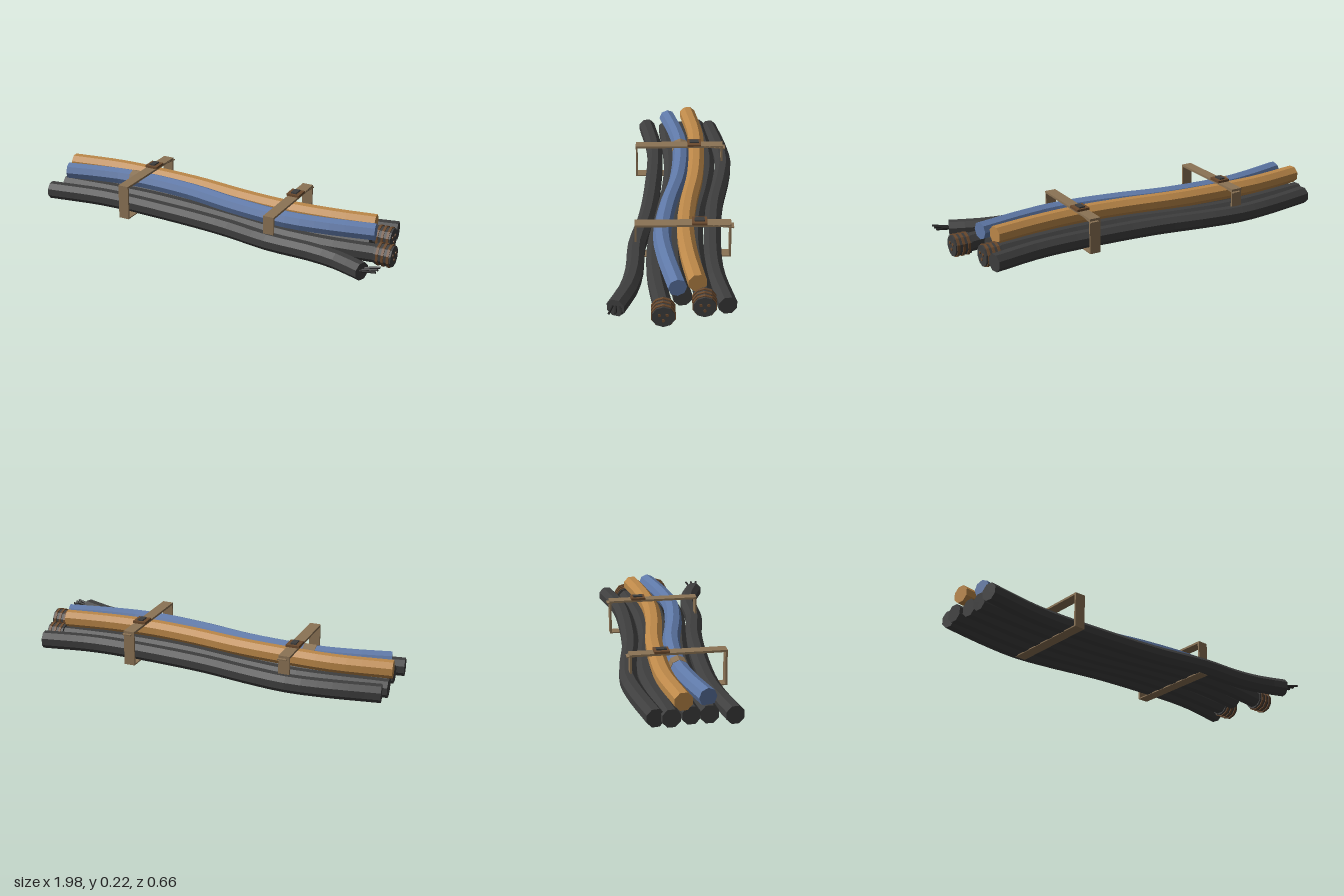
import * as THREE from 'three';

const mat = (name, color) => Object.assign(new THREE.MeshStandardMaterial({ color }), { name });
const M = {
  dark: mat('darkRubber', 0x3e3e3e),
  blue: mat('blueInsulation', 0x5f79a8),
  orange: mat('orangeInsulation', 0xbc8849),
  strap: mat('tanStrap', 0x8b7355),
  brown: mat('brownMetal', 0x6b4a2e),
  wire: mat('blackWire', 0x2a2a2a),
};

// Faceted mesh: every face keeps its own normal
function facet(name, geometry, material) {
  const g = geometry.index ? geometry.toNonIndexed() : geometry;
  g.computeVertexNormals();
  const mesh = new THREE.Mesh(g, material);
  mesh.name = name;
  return mesh;
}

// Capped cylinder lying along x, bent to follow a list of [x, z] points
function cable(name, y, pts, material, r, twist) {
  const curve = new THREE.CatmullRomCurve3(pts.map(([x, z]) => new THREE.Vector3(x, y, z)));
  const g = new THREE.CylinderGeometry(r, r, 1, 8, 24, false, twist).rotateZ(-Math.PI / 2);
  const pos = g.attributes.position;
  for (let i = 0; i < pos.count; i++) {
    const t = THREE.MathUtils.clamp(pos.getX(i) + 0.5, 0, 1);
    const p = curve.getPointAt(t), d = curve.getTangentAt(t);
    const h = pos.getY(i), s = pos.getZ(i);
    pos.setXYZ(i, p.x - d.z * s, p.y + h, p.z + d.x * s);
  }
  return facet(name, g, material);
}

function box(name, material, w, h, d, x, y, z) {
  const m = facet(name, new THREE.BoxGeometry(w, h, d), material);
  m.position.set(x, y, z);
  return m;
}

// Cylinder along x from x0 to x1
function barrel(name, material, r, x0, x1, y, z, sides) {
  const m = facet(name, new THREE.CylinderGeometry(r, r, x1 - x0, sides, 1, false, Math.PI / sides).rotateZ(-Math.PI / 2), material);
  m.position.set((x0 + x1) / 2, y, z);
  return m;
}

// Ribbed plug with three contact pins
function connector(x, z) {
  const g = new THREE.Group();
  g.name = 'connector';
  g.add(barrel('plugBody', M.dark, 0.055, x, x + 0.09, 0.06, z, 10));
  for (const o of [0.012, 0.04, 0.068]) g.add(barrel('plugRing', M.brown, 0.06, x + o, x + o + 0.013, 0.06, z, 10));
  for (const [dy, dz] of [[0.012, 0.018], [0.012, -0.018], [-0.018, 0]]) {
    g.add(barrel('contactPin', M.brown, 0.008, x + 0.085, x + 0.094, 0.06 + dy, z + dz, 8));
  }
  return g;
}

// Rectangular strap loop with buckle and loose tail
function strap(x) {
  const g = new THREE.Group();
  g.name = 'strap';
  const w = 0.058, zc = -0.0415, len = 0.483;
  g.add(box('strapTop', M.strap, w, 0.011, len, x, 0.1925, zc));
  g.add(box('strapBottom', M.strap, w, 0.006, len, x, 0.016, zc));
  g.add(box('strapFront', M.strap, w, 0.185, 0.01, x, 0.1055, 0.195));
  g.add(box('strapBack', M.strap, w, 0.185, 0.01, x, 0.1055, -0.278));
  const tail = box('strapTail', M.strap, 0.045, 0.006, 0.114, x + 0.008, 0.188, -0.239);
  tail.rotation.x = -0.12;
  g.add(tail);
  g.add(box('buckleBase', M.brown, 0.07, 0.012, 0.076, x, 0.204, -0.125));
  g.add(box('buckleBar', M.dark, 0.03, 0.007, 0.05, x, 0.2135, -0.125));
  return g;
}

export function createModel() {
  const model = new THREE.Group();
  model.name = 'cableBundle';
  const flat = Math.PI / 8;

  // Lower layer of five dark cables
  const lower = [
    [[-0.985, 0.14], [-0.65, 0.095], [-0.2, 0.11], [0.1, 0.14], [0.37, 0.19], [0.6, 0.2], [0.75, 0.225], [0.91, 0.285]],
    [[-0.96, 0.025], [-0.5, 0], [-0.2, 0.015], [0.1, 0.055], [0.4, 0.095], [0.65, 0.095], [0.92, 0.063]],
    [[-0.96, -0.06], [-0.5, -0.1], [-0.2, -0.08], [0.1, -0.03], [0.4, 0], [0.6, 0], [0.83, -0.03]],
    [[-0.98, -0.155], [-0.5, -0.195], [-0.2, -0.165], [0.1, -0.115], [0.4, -0.1], [0.6, -0.11], [0.85, -0.131]],
    [[-0.965, -0.225], [-0.7, -0.27], [-0.5, -0.287], [-0.3, -0.265], [0, -0.215], [0.45, -0.188], [0.65, -0.195], [0.9, -0.24]],
  ];
  lower.forEach((p, i) => model.add(cable('lowerCable' + (i + 1), 0.059, p, M.dark, 0.047, flat)));

  // Upper coloured cables
  const bluePath = [[-0.945, 0.02], [-0.75, -0.025], [-0.56, -0.05], [-0.2, -0.03], [0.1, 0.03], [0.4, 0.063], [0.6, 0.045], [0.865, -0.005]];
  model.add(cable('blueCable', 0.138, bluePath, M.blue, 0.0455, 0));
  model.add(cable('orangeCable', 0.14, [[-0.985, -0.1], [-0.7, -0.138], [-0.5, -0.138], [-0.2, -0.12], [0.1, -0.075], [0.35, -0.055], [0.6, -0.068], [0.83, -0.1]], M.orange, 0.0465, flat));

  // Tape patch over the top half of the blue cable
  const patch = facet('tapePatch', new THREE.CylinderGeometry(0.047, 0.047, 0.065, 4, 1, true, Math.PI, Math.PI).rotateZ(-Math.PI / 2), M.strap.clone());
  patch.material = M.strap;
  patch.rotation.x = 0;
  patch.position.set(-0.54, 0.138, -0.05);
  patch.geometry.dispose();
  patch.geometry = tapeGeometry();
  model.add(patch);

  // Plugs on two lower cables
  model.add(connector(0.9, 0.063), connector(0.825, -0.131));

  // Bare wires fanning out of the front cable
  for (const s of [-1, 0, 1]) {
    const a = new THREE.Vector3(0.9, 0.066, 0.283 + s * 0.015);
    const b = new THREE.Vector3(0.99, 0.084, 0.283 + s * 0.03);
    const wire = facet('bareWire', new THREE.CylinderGeometry(0.006, 0.006, a.distanceTo(b), 6), M.wire);
    wire.position.copy(a).lerp(b, 0.5);
    wire.quaternion.setFromUnitVectors(new THREE.Vector3(0, 1, 0), b.clone().sub(a).normalize());
    model.add(wire);
  }

  model.add(strap(-0.48), strap(0.37));
  return model;
}

// Half sleeve: extruded arch, open side down
function tapeGeometry() {
  const ring = (r) => [0, 1, 2, 3, 4].map((i) => new THREE.Vector2(r * Math.cos(i * Math.PI / 4), r * Math.sin(i * Math.PI / 4)));
  const shape = new THREE.Shape([...ring(0.0475), ...ring(0.043).reverse()]);
  const g = new THREE.ExtrudeGeometry(shape, { depth: 0.065, bevelEnabled: false });
  g.translate(0, 0, -0.0325).rotateY(Math.PI / 2);
  g.computeVertexNormals();
  return g;
}
